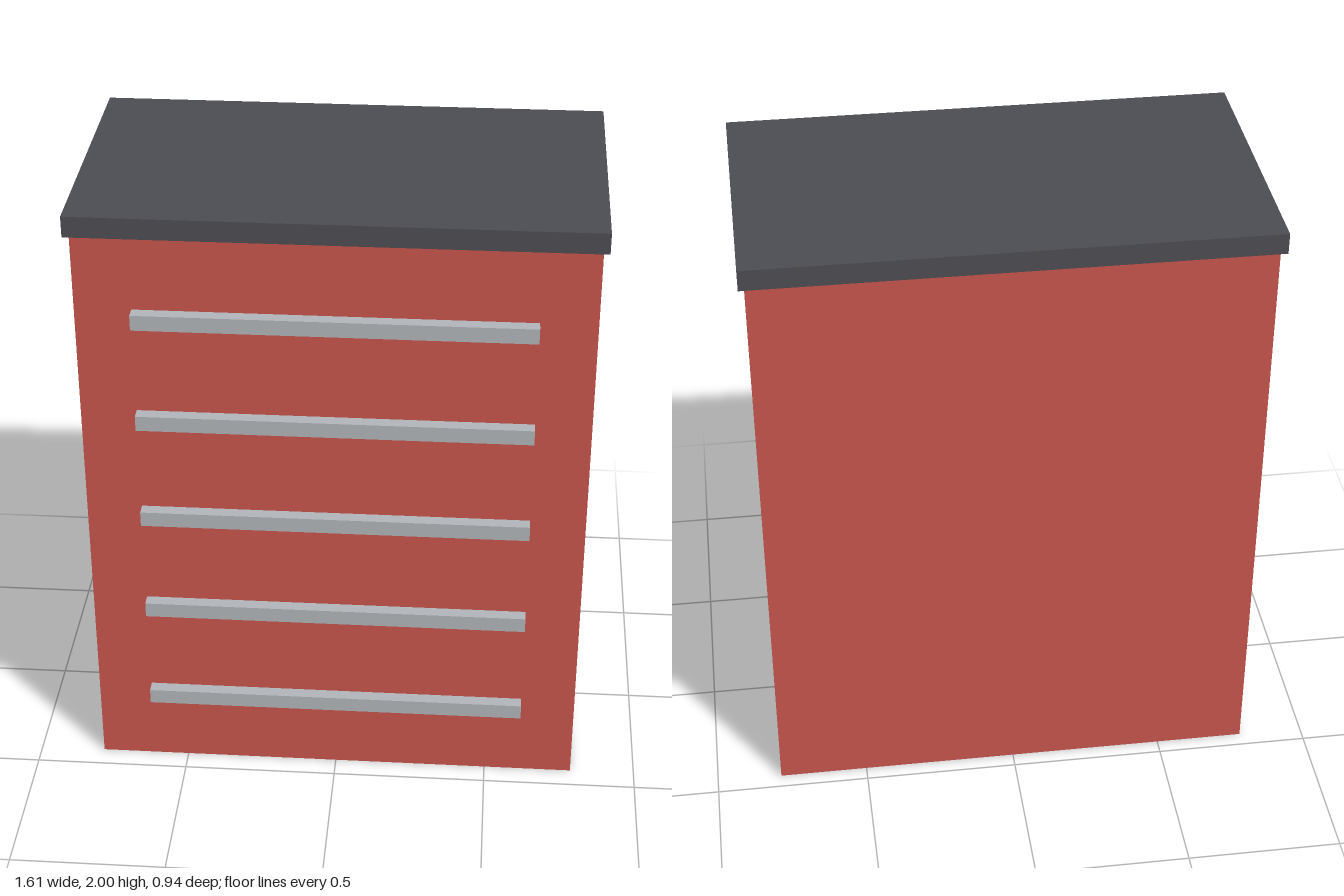
import * as THREE from 'three';

export function createModel() {
  const model = new THREE.Group();
  model.name = 'drawerCabinet';

  const paint = (name, color) => {
    const m = new THREE.MeshStandardMaterial({ color });
    m.name = name;
    return m;
  };
  const red = paint('red body', 0xc5544b);
  const charcoal = paint('charcoal top', 0x4b4b52);
  const steel = paint('steel handle', 0xb0b3b7);

  // Box given by half width and its y and z ranges
  const addBox = (name, material, halfX, y0, y1, z0, z1) => {
    const mesh = new THREE.Mesh(new THREE.BoxGeometry(halfX * 2, y1 - y0, z1 - z0), material);
    mesh.position.set(0, (y0 + y1) / 2, (z0 + z1) / 2);
    mesh.name = name;
    model.add(mesh);
  };

  // Cabinet body and overhanging worktop
  addBox('cabinetBody', red, 0.788, 0, 1.933, -0.45, 0.427);
  addBox('worktop', charcoal, 0.806, 1.933, 2, -0.468, 0.443);

  // Five evenly spaced drawer handles
  for (let i = 0; i < 5; i++) {
    const y = 0.267 + i * 0.35;
    addBox(`drawerHandle${i + 1}`, steel, 0.613, y - 0.025, y + 0.025, 0.427, 0.468);
  }

  return model;
}
